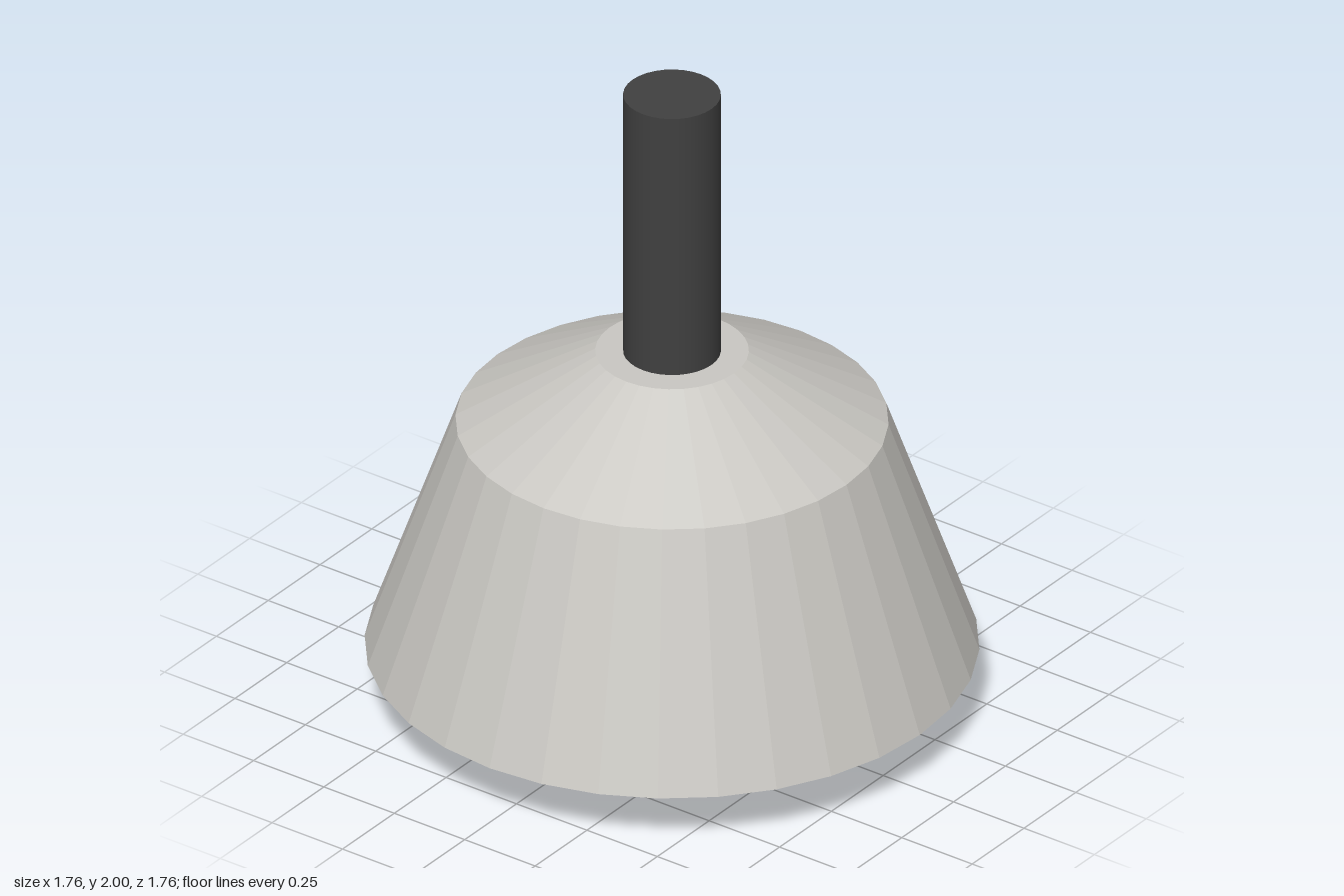
import * as THREE from 'three';

export function createModel() {
  const group = new THREE.Group();
  const colour = (name, color, flatShading) => {
    const m = new THREE.MeshStandardMaterial({ color, flatShading });
    m.name = name;
    return m;
  };
  const shadeGrey = colour('warmGrey', 0xc9c7c2, true);
  const bulbWhite = colour('bulbWhite', 0xe4e4e2, true);
  const stemBlack = colour('charcoal', 0x404040, false);

  const add = (name, geometry, material, y = 0) => {
    const mesh = new THREE.Mesh(geometry, material);
    mesh.name = name;
    mesh.position.y = y;
    group.add(mesh);
  };

  // Faceted shade: conical hollow, bottom rim, outer wall, sloping shoulder, flat top
  const profile = [
    [0, 0.88], [0.78, 0.18], [0.88, 0.18], [0.62, 0.92], [0.22, 1.15], [0, 1.15],
  ].map(([r, y]) => new THREE.Vector2(r, y));
  add('shade', new THREE.LatheGeometry(profile, 32), shadeGrey);

  // Round bulb inside the hollow
  add('bulb', new THREE.SphereGeometry(0.35, 24, 12), bulbWhite, 0.35);

  // Hanging stem
  add('stem', new THREE.CylinderGeometry(0.14, 0.14, 0.86, 32), stemBlack, 1.57);

  return group;
}
